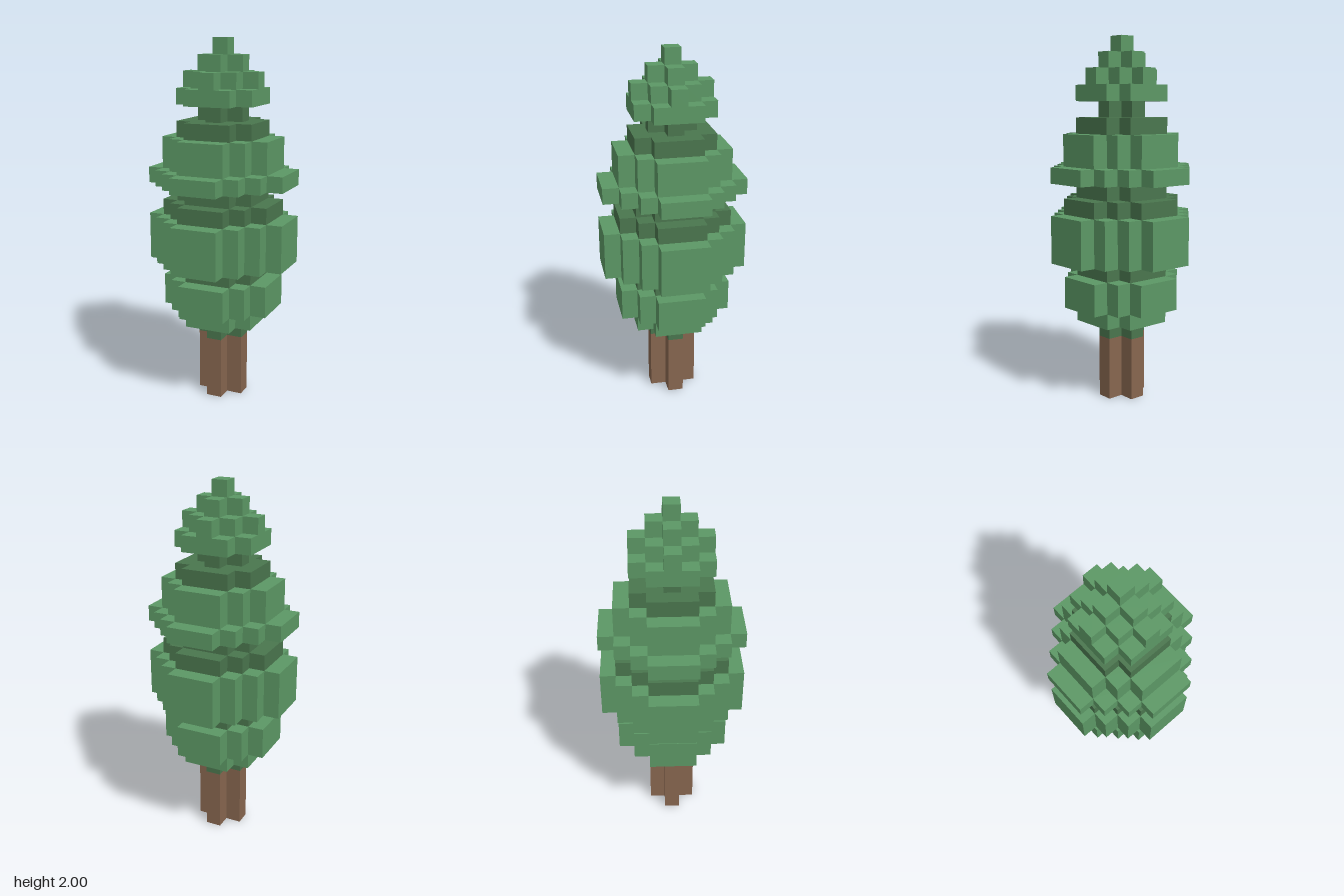
import * as THREE from 'three';

const U = 2 / 23; // one block

// Half widths in blocks (from the centre row outwards) of each stepped disc
const PEAK = [0];
const CROSS = [1, 0];
const DIAMOND = [2, 1, 0];
const SMALL = [2, 2, 1];
const MEDIUM = [3, 3, 2, 1];
const LARGE = [4, 4, 3, 2, 1];

// Stepped outline: one quarter, turned four times
function steppedShape(rows) {
  const quarter = [];
  rows.forEach((r, i) => {
    const next = rows[i + 1];
    if (next === r) return;
    quarter.push([r + 0.5, i + 0.5]);
    if (next !== undefined) quarter.push([next + 0.5, i + 0.5]);
  });
  const points = [];
  for (let q = 0; q < 4; q++) {
    for (const [x, y] of quarter) {
      points.push(new THREE.Vector2(x * U, y * U).rotateAround(new THREE.Vector2(), q * Math.PI / 2));
    }
  }
  return new THREE.Shape(points);
}

export function createModel() {
  const tree = new THREE.Group();
  tree.name = 'blockTree';

  const material = (name, color) => {
    const m = new THREE.MeshStandardMaterial({ color });
    m.name = name;
    return m;
  };
  const bark = material('bark brown', 0x87664f);
  const leaf = material('leaf green', 0x5c9865);
  const shade = material('deep leaf green', 0x4a764e);

  // Tiers from the ground up: name, outline, height in blocks, colour
  const tiers = [
    ['trunk', CROSS, 4, bark],
    ['lowerNeck', CROSS, 1, shade],
    ['lowerFoliageBase', SMALL, 1, leaf],
    ['lowerFoliage', MEDIUM, 2, leaf],
    ['lowerGap', SMALL, 1, shade],
    ['middleFoliage', LARGE, 3, leaf],
    ['middleFoliageCap', MEDIUM, 1, shade],
    ['middleGap', SMALL, 1, shade],
    ['upperFoliageSkirt', LARGE, 1, leaf],
    ['upperFoliage', MEDIUM, 2, leaf],
    ['upperFoliageCap', SMALL, 1, shade],
    ['upperNeck', CROSS, 1, shade],
    ['crownBase', SMALL, 1, leaf],
    ['crownMiddle', DIAMOND, 1, leaf],
    ['crownTop', CROSS, 1, leaf],
    ['crownPeak', PEAK, 1, leaf],
  ];

  let level = 0;
  for (const [name, rows, height, mat] of tiers) {
    const geometry = new THREE.ExtrudeGeometry(steppedShape(rows), { depth: height * U, bevelEnabled: false });
    geometry.rotateX(-Math.PI / 2);
    const mesh = new THREE.Mesh(geometry, mat);
    mesh.name = name;
    mesh.position.y = level * U;
    tree.add(mesh);
    level += height;
  }
  return tree;
}
